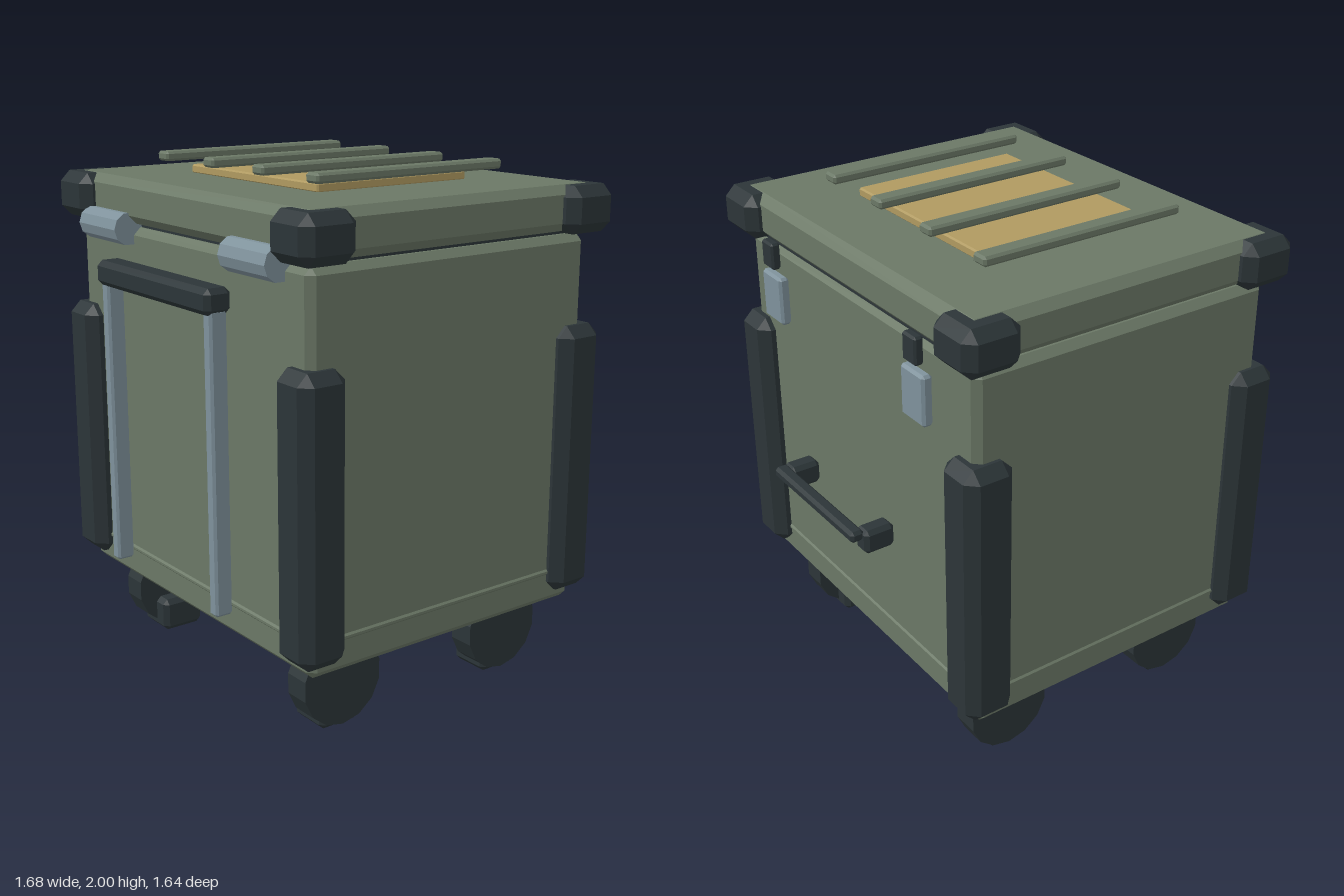
import * as THREE from 'three';
import { ConvexGeometry } from 'three/addons/geometries/ConvexGeometry.js';

const mat = (color) => new THREE.MeshStandardMaterial({ color, flatShading: true });

// Box between two bounds per axis, with every edge chamfered by c
function chamferBox([x0, x1], [y0, y1], [z0, z1], c) {
  const h = [(x1 - x0) / 2, (y1 - y0) / 2, (z1 - z0) / 2];
  const points = [];
  for (const sx of [-1, 1]) for (const sy of [-1, 1]) for (const sz of [-1, 1]) {
    for (let axis = 0; axis < 3; axis++) {
      const p = h.map((v, i) => (i === axis ? v : v - c));
      points.push(new THREE.Vector3(p[0] * sx, p[1] * sy, p[2] * sz));
    }
  }
  return new ConvexGeometry(points).translate((x0 + x1) / 2, (y0 + y1) / 2, (z0 + z1) / 2);
}

export function createModel() {
  const model = new THREE.Group();
  model.name = 'rollingCase';
  const green = mat(0x6b7866);
  const dark = mat(0x2c3538);
  const metal = mat(0x7f929c);
  const tan = mat(0xb09a60);

  const add = (name, geometry, material) => {
    const mesh = new THREE.Mesh(geometry, material);
    mesh.name = name;
    model.add(mesh);
    return mesh;
  };
  const box = (name, x, y, z, c, material) => add(name, chamferBox(x, y, z, c), material);
  // x range on the given side
  const span = (side, a, b) => (side > 0 ? [a, b] : [-b, -a]);

  // Case body, bottom trim, seal and lid
  box('body', [-0.765, 0.765], [0.29, 1.735], [-0.605, 0.67], 0.028, green);
  box('bottomTrim', [-0.772, 0.772], [0.41, 0.435], [-0.612, 0.677], 0.008, green);
  box('lidSeal', [-0.725, 0.725], [1.72, 1.77], [-0.585, 0.635], 0.005, dark);
  box('lid', [-0.785, 0.785], [1.75, 1.92], [-0.632, 0.69], 0.033, green);

  // Lid panel and the ribs above it
  box('lidPanel', [-0.412, 0.408], [1.917, 1.952], [-0.32, 0.37], 0.006, tan);
  for (let i = 0; i < 4; i++) {
    const x = -0.49 + i * 0.325;
    box('lidRib', [x - 0.036, x + 0.036], [1.963, 2], [-0.4, 0.455], 0.009, green);
  }

  for (const side of [-1, 1]) {
    // Lid corner caps and vertical edge guards
    for (const z of [[0.51, 0.74], [-0.685, -0.455]]) {
      box('lidCorner', span(side, 0.61, 0.84), [1.742, 1.918], z, 0.04, dark);
    }
    for (const z of [[0.535, 0.732], [-0.667, -0.468]]) {
      box('edgeGuard', span(side, 0.625, 0.82), [0.342, 1.395], z, 0.042, dark);
    }

    // Casters: faceted wheel with an inner foot block
    for (const z of [0.43, -0.365]) {
      const wheel = add('casterWheel',
        new THREE.CylinderGeometry(0.174, 0.174, 0.105, 14, 1, false, Math.PI / 14), dark);
      wheel.rotation.z = Math.PI / 2;
      wheel.position.set(side * 0.583, 0.178, z);
      box('casterFoot', span(side, 0.46, 0.635), [0, 0.135], [z - 0.085, z + 0.095], 0.02, dark);
    }

    // Hinge barrels
    const hinge = add('hinge', new THREE.CylinderGeometry(0.063, 0.063, 0.278, 10), metal);
    hinge.rotation.z = Math.PI / 2;
    hinge.position.set(side * 0.493, 1.733, 0.69);

    // Posts of the pull handle
    box('pullHandlePost', span(side, 0.33, 0.38), [0.43, 1.55], [0.733, 0.803], 0.009, metal);

    // Rear latches
    box('latchPlate', span(side, 0.42, 0.56), [1.465, 1.658], [-0.674, -0.632], 0.01, metal);
    box('latchStrap', span(side, 0.45, 0.53), [1.685, 1.79], [-0.682, -0.645], 0.008, dark);

    // Mounts of the rear handle
    box('rearHandleMount', span(side, 0.235, 0.313), [0.855, 0.952], [-0.775, -0.65], 0.016, dark);
  }

  // Handle grips
  box('pullHandleGrip', [-0.388, 0.388], [1.53, 1.625], [0.715, 0.822], 0.02, dark);
  box('rearHandleGrip', [-0.293, 0.293], [0.912, 0.957], [-0.822, -0.767], 0.012, dark);

  return model;
}
